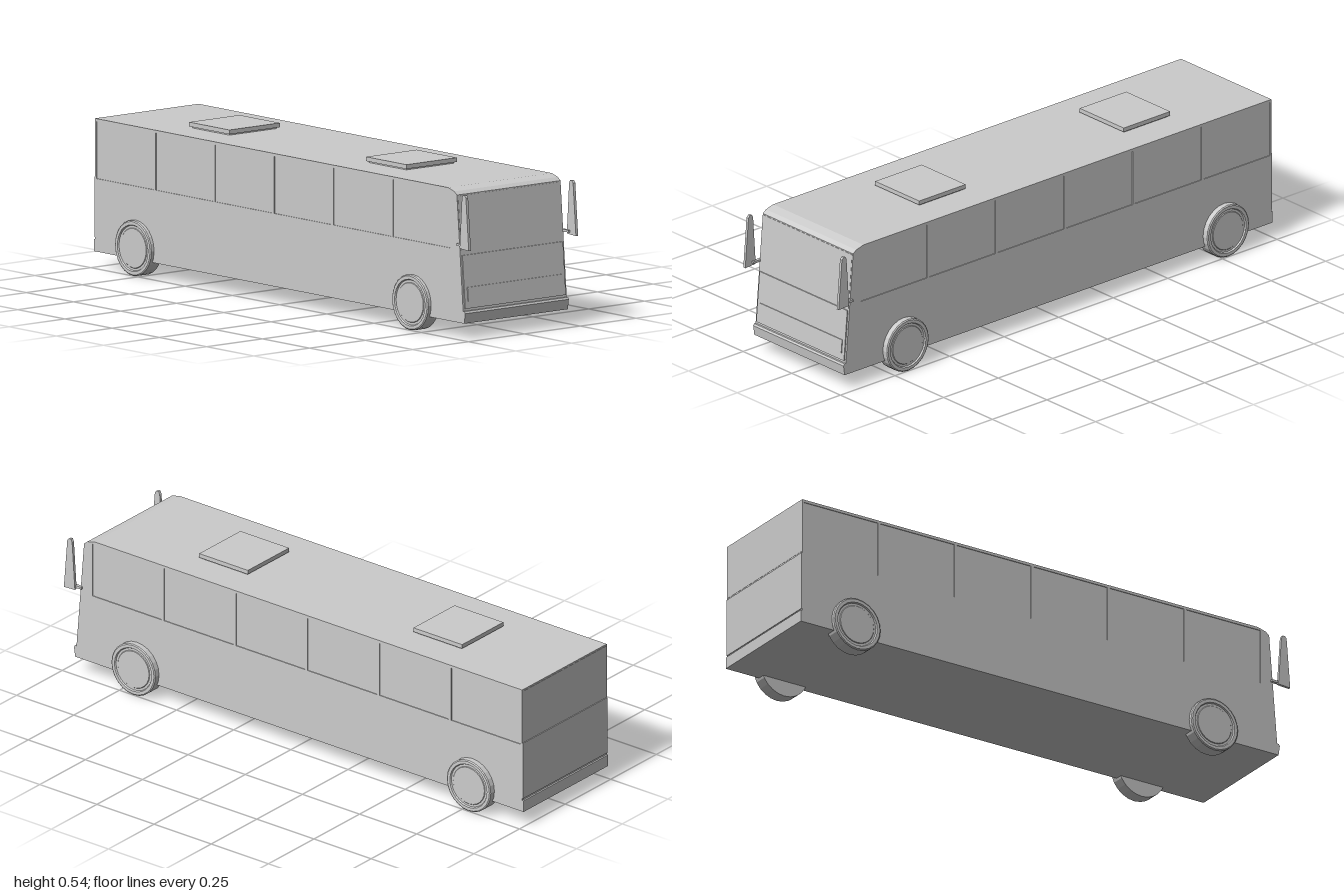
import * as THREE from 'three';

const MAT = new THREE.MeshStandardMaterial({ color: 0xcccccc, flatShading: true });
const ZC = 0.004; // body centre line
const HALF = 0.232; // half body width

// Side outline of the bus (x, y)
const OUTLINE = [
  [-0.994, 0.057], [0.957, 0.057], [0.955, 0.1], [0.922, 0.498],
  [0.908, 0.509], [0.875, 0.518], [-0.994, 0.518],
];

// x of the sloping nose at height y
const noseX = (y) => 0.922 + ((0.498 - y) / 0.398) * 0.033;

function polygon(points, Type = THREE.Shape) {
  return new Type(points.map(([x, y]) => new THREE.Vector2(x, y)));
}

// Extrudes a side-on shape from z0 to z1
function slab(name, shape, z0, z1) {
  const geo = new THREE.ExtrudeGeometry(shape, { depth: z1 - z0, bevelEnabled: false });
  geo.translate(0, 0, z0);
  const mesh = new THREE.Mesh(geo, MAT);
  mesh.name = name;
  return mesh;
}

function box(name, w, h, d, x, y, z) {
  const mesh = new THREE.Mesh(new THREE.BoxGeometry(w, h, d), MAT);
  mesh.position.set(x, y, z);
  mesh.name = name;
  return mesh;
}

// Panel lying on the sloping nose, standing proud by depth
function nosePanel(name, y0, y1, half, depth) {
  const shape = polygon([
    [noseX(y0) - 0.01, y0], [noseX(y0) + depth, y0],
    [noseX(y1) + depth, y1], [noseX(y1) - 0.01, y1],
  ]);
  return slab(name, shape, ZC - half, ZC + half);
}

// Side skin with six window openings
function sideSkin() {
  const shape = polygon(OUTLINE);
  const pitch = 0.314;
  for (let i = 0; i < 6; i++) {
    const x0 = -0.987 + i * pitch;
    const x1 = x0 + pitch - 0.011;
    shape.holes.push(polygon([[x0, 0.31], [x0, 0.508], [x1, 0.508], [x1, 0.31]], THREE.Path));
  }
  return shape;
}

// Wheel turned around its axle, outer face towards +z
function wheel(x, side) {
  const profile = [
    [0, -0.025], [0.096, -0.025], [0.096, 0.022], [0.092, 0.025],
    [0.081, 0.025], [0.078, 0.02], [0.07, 0.02], [0.068, 0.022], [0, 0.022],
  ].map(([r, h]) => new THREE.Vector2(r, h));
  const geo = new THREE.LatheGeometry(profile, 24);
  geo.rotateX(side * Math.PI / 2);
  const mesh = new THREE.Mesh(geo, MAT);
  mesh.position.set(x, 0.097, side * 0.226);
  mesh.name = 'wheel';
  return mesh;
}

// Tapered mirror blade and its short arm
function mirror(side) {
  const group = new THREE.Group();
  group.name = side > 0 ? 'rightMirror' : 'leftMirror';
  const blade = polygon([
    [0.952, 0.318], [1, 0.315], [0.985, 0.497], [0.978, 0.505], [0.969, 0.505], [0.964, 0.495],
  ]);
  const z = ZC + side * 0.24;
  group.add(slab('mirrorBlade', blade, z - 0.005, z + 0.005));
  group.add(box('mirrorArm', 0.04, 0.008, 0.012, 0.948, 0.328, ZC + side * 0.234));
  return group;
}

export function createModel() {
  const bus = new THREE.Group();
  bus.name = 'bus';

  // Body core, whose sides show as glass through the skins
  const inner = HALF - 0.003;
  bus.add(slab('body', polygon(OUTLINE), ZC - inner, ZC + inner));
  bus.add(slab('rightSide', sideSkin(), ZC + inner, ZC + HALF));
  bus.add(slab('leftSide', sideSkin(), ZC - HALF, ZC - inner));

  // Nose: windscreen, panel, grille and bumper
  bus.add(nosePanel('windscreen', 0.298, 0.494, 0.228, 0.001));
  bus.add(nosePanel('nosePanel', 0.107, 0.29, 0.225, 0.004));
  bus.add(nosePanel('grille', 0.132, 0.18, 0.212, 0.007));
  const bumper = polygon([[0.94, 0.057], [0.961, 0.057], [0.966, 0.092], [0.962, 0.099], [0.94, 0.099]]);
  bus.add(slab('frontBumper', bumper, ZC - HALF, ZC + HALF));

  // Tail: window, panel and bumper
  bus.add(box('rearWindow', 0.01, 0.19, 2 * HALF - 0.008, -0.99, 0.417, ZC));
  bus.add(box('rearPanel', 0.01, 0.21, 2 * HALF, -0.992, 0.211, ZC));
  bus.add(box('rearBumper', 0.012, 0.042, 2 * HALF, -0.994, 0.078, ZC));

  // Roof hatches on smaller bases
  for (const x of [-0.53, 0.407]) {
    bus.add(box('hatchBase', 0.196, 0.01, 0.212, x, 0.519, ZC));
    bus.add(box('roofHatch', 0.213, 0.015, 0.226, x, 0.5305, ZC));
  }

  for (const side of [1, -1]) {
    for (const x of [-0.777, 0.69]) bus.add(wheel(x, side));
    bus.add(mirror(side));
  }
  return bus;
}
